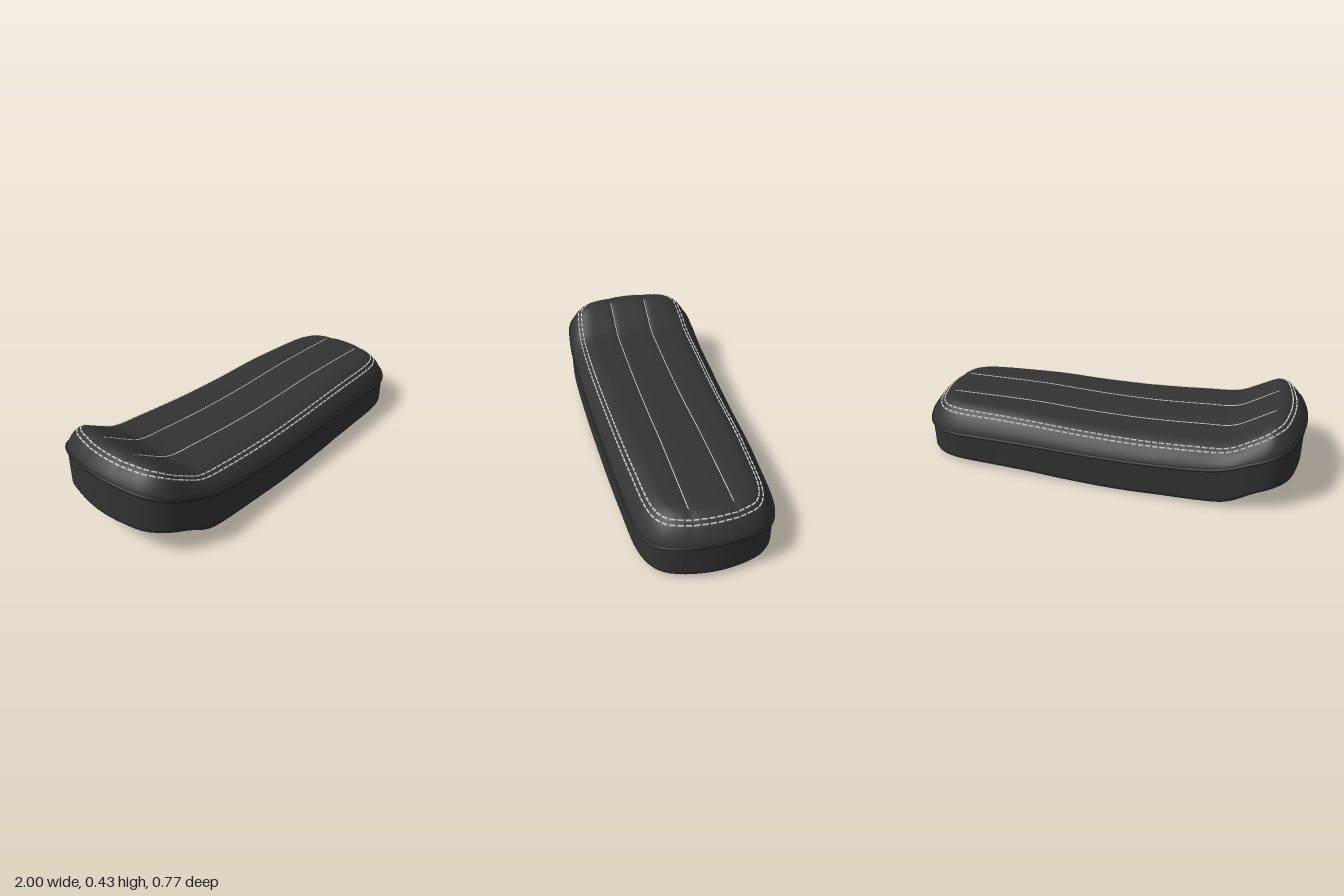
import * as THREE from 'three';
import { mergeGeometries, mergeVertices } from 'three/addons/utils/BufferGeometryUtils.js';

const N = 240;        // points around the seat
const SHOULDER = 0.14; // width of the rounded cushion edge
const PLEAT = 0.103;  // z of the two long pleats

// Smooth curve y(x) through a few points
function profile(pts) {
  const slope = (i) => {
    const a = pts[Math.max(i - 1, 0)], b = pts[Math.min(i + 1, pts.length - 1)];
    return (b[1] - a[1]) / (b[0] - a[0]);
  };
  return (x) => {
    x = THREE.MathUtils.clamp(x, pts[0][0], pts[pts.length - 1][0]);
    let i = 0;
    while (i < pts.length - 2 && x > pts[i + 1][0]) i++;
    const [x0, y0] = pts[i], [x1, y1] = pts[i + 1];
    const h = x1 - x0, t = (x - x0) / h, t2 = t * t, t3 = t2 * t;
    return (2 * t3 - 3 * t2 + 1) * y0 + (t3 - 2 * t2 + t) * h * slope(i)
      + (3 * t2 - 2 * t3) * y1 + (t3 - t2) * h * slope(i + 1);
  };
}

// Side profiles of the seat
const topY = profile([[-1, 0.435], [-0.9, 0.442], [-0.85, 0.43], [-0.75, 0.37], [-0.65, 0.318],
  [-0.5, 0.305], [-0.2, 0.293], [0.1, 0.298], [0.4, 0.313], [1, 0.315]]);
const seamY = profile([[-1, 0.35], [-0.93, 0.33], [-0.8, 0.285], [-0.6, 0.217], [-0.3, 0.192],
  [0, 0.185], [0.4, 0.19], [0.75, 0.182], [0.88, 0.178], [1, 0.206]]);
const baseY = profile([[-1, 0.13], [-0.89, 0.128], [-0.8, 0.102], [-0.68, 0.04], [-0.6, 0.022],
  [-0.35, 0.012], [-0.1, 0.003], [0.15, 0.008], [0.4, 0.02], [1, 0.02]]);

// Plan outline, mirrored across z
const half = [[0.96, 0.17], [0.915, 0.255], [0.82, 0.312], [0.5, 0.345], [0, 0.364],
  [-0.5, 0.377], [-0.75, 0.372], [-0.87, 0.348], [-0.945, 0.27], [-0.98, 0.15]];
const plan = [[0.985, 0], ...half, [-0.995, 0], ...half.slice().reverse().map(([x, z]) => [x, -z])];
const planCurve = new THREE.CatmullRomCurve3(plan.map(([x, z]) => new THREE.Vector3(x, 0, z)), true);
planCurve.arcLengthDivisions = 1000;
const outline = planCurve.getSpacedPoints(N).slice(0, N);

// Outline point moved inwards by d
function inset(i, d) {
  const t = outline[(i + 1) % N].clone().sub(outline[(i + N - 1) % N]).normalize();
  const p = outline[i % N];
  return new THREE.Vector3(p.x - t.z * d, 0, p.z + t.x * d);
}

const crownY = (x, z) => topY(x) - 0.006 * Math.max(0, 1 - Math.abs(Math.abs(z) - PLEAT) / 0.022);
const clampZ = (p, z) => p.setZ(THREE.MathUtils.clamp(p.z, -z, z));

// Point on the rounded cushion edge
function cushionPoint(i, d) {
  const p = inset(i, d), u = d / SHOULDER;
  const f = Math.pow(1 - (1 - u) ** 2, 0.75);
  const s = seamY(outline[i % N].x);
  p.y = s + (crownY(p.x, p.z) - s) * f;
  return p;
}

// Skin closed rings, listed from bottom to top
function loft(rings) {
  const pos = [], index = [];
  rings.forEach((ring) => {
    for (let i = 0; i < N; i++) pos.push(...ring(i).toArray());
  });
  for (let j = 0; j < rings.length - 1; j++) {
    for (let i = 0; i < N; i++) {
      const a = j * N + i, b = j * N + (i + 1) % N;
      index.push(a, a + N, b, b, a + N, b + N);
    }
  }
  let g = new THREE.BufferGeometry();
  g.setAttribute('position', new THREE.Float32BufferAttribute(pos, 3));
  g.setIndex(index);
  g = mergeVertices(g, 1e-5);
  g.computeVertexNormals();
  return g;
}

// A thin bar between two points
function bar(a, b, width) {
  const g = new THREE.BoxGeometry(width, width, a.distanceTo(b));
  const o = new THREE.Object3D();
  o.position.copy(a).lerp(b, 0.5);
  o.lookAt(b);
  o.updateMatrix();
  return g.applyMatrix4(o.matrix);
}

export function createModel() {
  const group = new THREE.Group();
  const material = (name, color) => {
    const m = new THREE.MeshStandardMaterial({ color });
    m.name = name;
    return m;
  };
  const leather = material('black leather', 0x333333);
  const trim = material('dark piping', 0x222222);
  const thread = material('light thread', 0xc8c8c8);
  const add = (name, geometry, mat) => {
    const mesh = new THREE.Mesh(geometry, mat);
    mesh.name = name;
    group.add(mesh);
  };

  // Base skirt with a flat underside and a small rounded lower edge
  const baseRing = (d, h) => (i) => {
    const p = inset(i, d);
    p.y = baseY(p.x) + h;
    return p;
  };
  const under = (z) => (i) => {
    const p = clampZ(inset(i, 0.03), z);
    p.y = baseY(p.x);
    return p;
  };
  const seamRing = (i) => inset(i, 0).setY(seamY(outline[i].x));
  add('baseSkirt', loft([under(0), under(0.15), baseRing(0.03, 0), baseRing(0.018, 0), baseRing(0.006, 0.007),
    baseRing(0, 0.022), baseRing(0, 0.03), seamRing]), leather);

  // Padded cushion: rounded shoulder, then the pleated crown
  const shoulder = [0, 0.004, 0.01, 0.02, 0.035, 0.05, 0.065, 0.08, 0.1, 0.12, SHOULDER]
    .map((d) => (i) => cushionPoint(i, d));
  const crown = [0.2, 0.15, 0.125, 0.114, PLEAT, 0.092, 0.081, 0.04, 0].map((z) => (i) => {
    const p = clampZ(cushionPoint(i, SHOULDER), z);
    p.y = crownY(p.x, p.z);
    return p;
  });
  add('cushion', loft([...shoulder, ...crown]), leather);

  // Piping along the seam
  const seam = new THREE.CatmullRomCurve3(Array.from({ length: N / 3 }, (_, i) => seamRing(i * 3)), true);
  add('seamPiping', new THREE.TubeGeometry(seam, N, 0.009, 8, true), trim);

  // Two rows of dashed stitching around the shoulder
  [['outerStitching', 0.054], ['innerStitching', 0.073]].forEach(([name, d]) => {
    const path = new THREE.CatmullRomCurve3(
      Array.from({ length: N }, (_, i) => cushionPoint(i, d)), true);
    path.arcLengthDivisions = 1000;
    const count = 130, dashes = [];
    for (let k = 0; k < count; k++) {
      dashes.push(bar(path.getPointAt(k / count), path.getPointAt((k + 0.75) / count), 0.006));
    }
    add(name, mergeGeometries(dashes), thread);
  });

  // Thread lines lying in the two pleats
  [['leftPleatLine', 1], ['rightPleatLine', -1]].forEach(([name, side]) => {
    const pieces = [], steps = 50;
    const at = (k) => {
      const x = -0.85 + 1.7 * k / steps;
      return new THREE.Vector3(x, crownY(x, PLEAT) + 0.001, side * PLEAT);
    };
    for (let k = 0; k < steps; k++) pieces.push(bar(at(k), at(k + 1), 0.004));
    add(name, mergeGeometries(pieces), thread);
  });

  return group;
}
